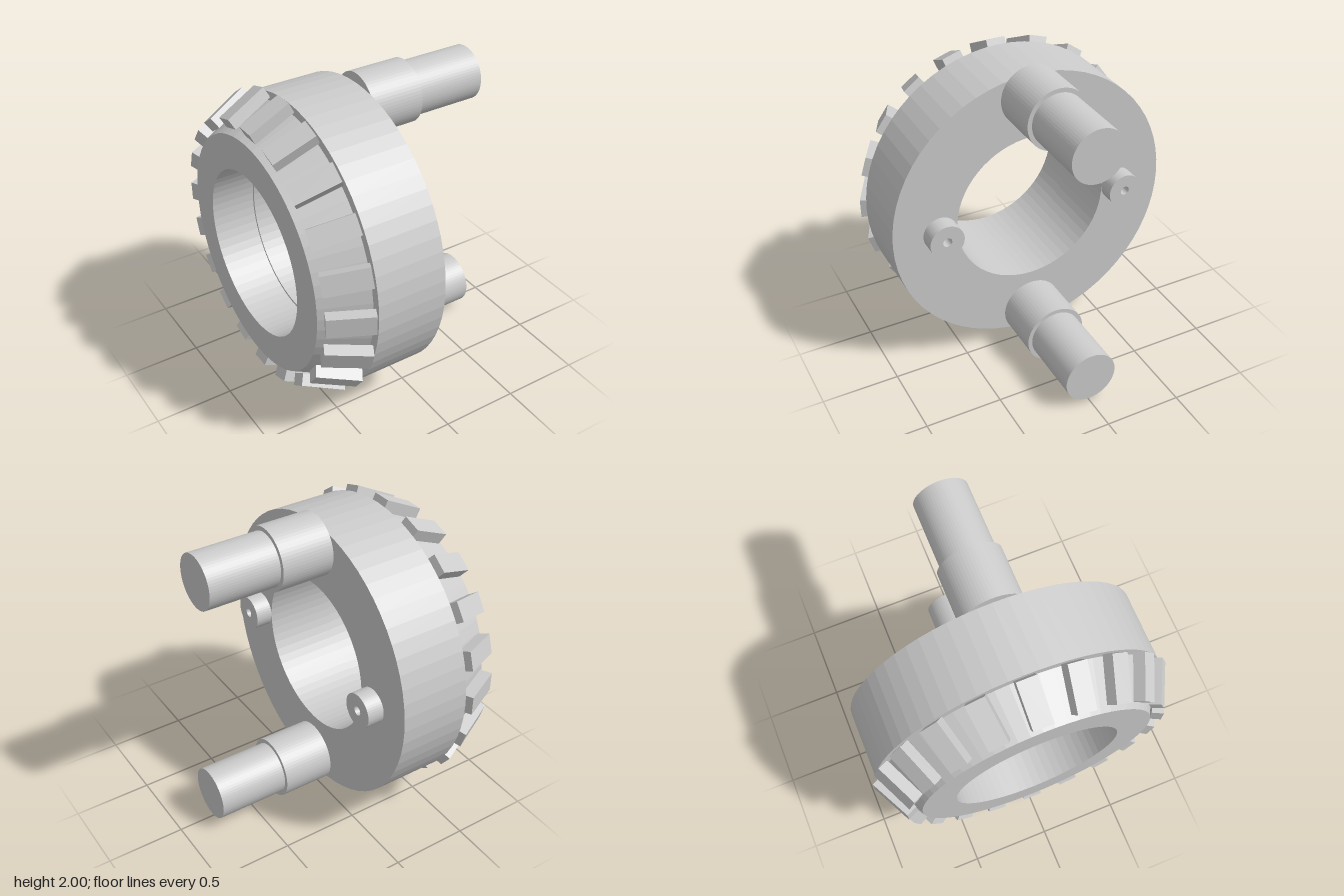
import * as THREE from 'three';

const material = new THREE.MeshStandardMaterial({ color: 0xcccccc, flatShading: true });

// Revolves [x, radius] points about the x axis; the outer side runs towards +x.
function turned(name, profile, segments, y = 0, z = 0) {
  const points = profile.map(([x, r]) => new THREE.Vector2(r, x));
  const mesh = new THREE.Mesh(new THREE.LatheGeometry(points, segments), material);
  mesh.rotation.z = -Math.PI / 2;
  mesh.position.set(0, y, z);
  mesh.name = name;
  return mesh;
}

export function createModel() {
  const model = new THREE.Group();
  model.name = 'toothedRing';
  const body = new THREE.Group();
  body.name = 'ringAssembly';
  body.position.y = 1;
  model.add(body);

  // Main ring
  body.add(turned('ring', [
    [-0.485, 0.515], [-0.485, 0.94], [-0.03, 0.94], [-0.03, 0.515], [-0.485, 0.515],
  ], 64));

  // Tapered gear body with a slightly wider bore
  body.add(turned('bevelBody', [
    [-0.77, 0.53], [-0.77, 0.75], [-0.485, 0.885], [-0.485, 0.53], [-0.77, 0.53],
  ], 64));

  // Bevel teeth lying along the taper
  const start = new THREE.Vector2(-0.77, 0.842);
  const end = new THREE.Vector2(-0.515, 0.97);
  const along = end.clone().sub(start);
  const slope = along.angle();
  const thickness = 0.075;
  const toothGeometry = new THREE.BoxGeometry(along.length(), thickness, 0.125);
  toothGeometry.translate(0, -thickness / 2, 0);
  toothGeometry.rotateZ(slope);
  toothGeometry.translate((start.x + end.x) / 2, (start.y + end.y) / 2, 0);
  const teeth = new THREE.Group();
  teeth.name = 'teeth';
  const count = 20;
  for (let i = 0; i < count; i++) {
    const tooth = new THREE.Mesh(toothGeometry, material);
    tooth.name = 'tooth';
    tooth.rotation.x = (i / count) * Math.PI * 2;
    teeth.add(tooth);
  }
  body.add(teeth);

  for (const side of [1, -1]) {
    // Stepped drive pins above and below
    body.add(turned('drivePin', [
      [-0.03, 0], [-0.03, 0.2], [0.31, 0.2], [0.31, 0.172], [0.77, 0.172], [0.77, 0],
    ], 64, side * 0.8, 0));

    // Small drilled bosses at front and back
    body.add(turned('boss', [
      [-0.03, 0.113], [0.08, 0.113], [0.08, 0.03], [-0.028, 0.03], [-0.028, 0],
    ], 48, 0, side * 0.628));
  }
  return model;
}
